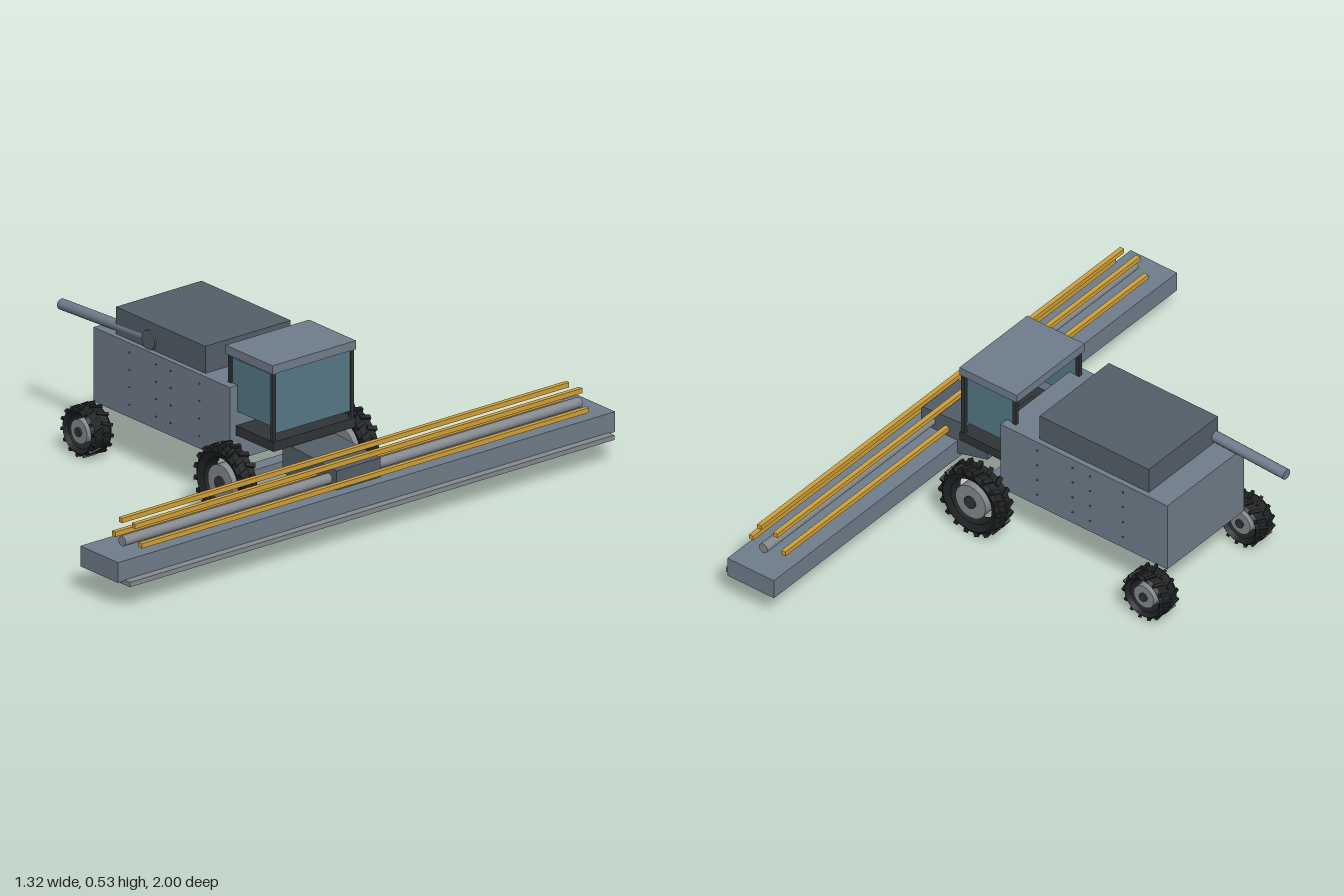
import * as THREE from 'three';

const mat = (color, extra = {}) => new THREE.MeshStandardMaterial({ color, ...extra });

export function createModel() {
  const root = new THREE.Group();
  const slate = mat(0x6f7c8a), dark = mat(0x535e68), black = mat(0x303438);
  const rubber = mat(0x1f2123, { flatShading: true });
  const steel = mat(0x85898d), gold = mat(0xd0a038), glass = mat(0x557885);

  const add = (name, geo, material, x = 0, y = 0, z = 0, parent = root) => {
    const m = new THREE.Mesh(geo, material);
    m.name = name;
    m.position.set(x, y, z);
    parent.add(m);
    return m;
  };
  // box given by its limits in x and y, and by its z centre and depth
  const box = (name, material, x0, x1, y0, y1, depth, z = 0) =>
    add(name, new THREE.BoxGeometry(x1 - x0, y1 - y0, depth), material, (x0 + x1) / 2, (y0 + y1) / 2, z);
  // cylinder lying along z
  const rod = (name, material, r, length, x, y, z, parent = root, sides = 24) =>
    add(name, new THREE.CylinderGeometry(r, r, length, sides).rotateX(Math.PI / 2), material, x, y, z, parent);

  // body and grain tank
  box('body', slate, -0.466, 0.197, 0.157, 0.405, 0.38);
  box('grainTank', dark, -0.378, 0.056, 0.405, 0.495, 0.344);

  // rivets on both body sides
  for (const s of [-1, 1])
    for (const x of [-0.29, -0.16, -0.09, 0.05])
      for (let i = 0; i < 4; i++) rod('rivet', dark, 0.003, 0.004, x, 0.2 + i * 0.058, s * 0.191, root, 6);

  // unloading auger swung to the rear
  const from = new THREE.Vector3(-0.215, 0.435, 0.157), to = new THREE.Vector3(-0.662, 0.414, 0.157);
  const path = new THREE.LineCurve3(from, to);
  const tube = add('unloadingAuger', new THREE.CylinderGeometry(0.018, 0.018, path.getLength(), 16), slate);
  tube.position.copy(path.getPoint(0.5));
  tube.quaternion.setFromUnitVectors(new THREE.Vector3(0, 1, 0), to.clone().sub(from).normalize());
  rod('augerPivot', dark, 0.032, 0.04, -0.215, 0.435, 0.158);

  // cab
  box('cabFloor', black, 0.19, 0.38, 0.24, 0.272, 0.33);
  box('seat', black, 0.205, 0.282, 0.272, 0.318, 0.14);
  box('cabRoof', slate, 0.15, 0.378, 0.498, 0.527, 0.336);
  box('frontWindow', glass, 0.363, 0.37, 0.294, 0.498, 0.306);
  for (const s of [-1, 1]) {
    box('sideWindow', glass, 0.172, 0.356, 0.317, 0.49, 0.007, s * 0.155);
    box('rearPost', black, 0.157, 0.17, 0.4, 0.5, 0.013, s * 0.157);
    box('frontPost', black, 0.362, 0.375, 0.27, 0.5, 0.013, s * 0.157);
  }

  // tapered feeder house
  const side = new THREE.Shape([[0.33, 0.24], [0.33, 0.14], [0.45, 0.108], [0.594, 0.1], [0.594, 0.222]]
    .map(p => new THREE.Vector2(...p)));
  add('feederHouse', new THREE.ExtrudeGeometry(side, { depth: 0.176, bevelEnabled: false }), dark, 0, 0, -0.088);

  // header, cutter bar and reel
  box('header', slate, 0.449, 0.633, 0.09, 0.158, 2);
  box('cutterBar', steel, 0.583, 0.66, 0.078, 0.094, 1.95);
  rod('reelTube', steel, 0.017, 1.84, 0.555, 0.186, 0);
  for (let i = 0; i < 6; i++) {
    const a = i * Math.PI / 3;
    const x = 0.555 + 0.064 * Math.cos(a), y = 0.186 + 0.064 * Math.sin(a);
    box('reelBat', gold, x - 0.008, x + 0.008, y - 0.008, y + 0.008, 1.8);
  }

  // wheel: ring tyre with two staggered rows of lugs, hub and cap
  const wheel = (name, r, inner, hubR, width, lugs, x, y, z) => {
    const g = new THREE.Group();
    g.name = name;
    g.position.set(x, y, z);
    root.add(g);
    const h = width / 2, out = r * 0.94;
    const profile = [[inner, -h * 0.7], [out - r * 0.1, -h], [out, -h * 0.75], [out, h * 0.75],
      [out - r * 0.1, h], [inner, h * 0.7], [inner, -h * 0.7]].map(p => new THREE.Vector2(...p));
    add('tyre', new THREE.LatheGeometry(profile, 36).rotateX(Math.PI / 2),
      mat(0x1f2123, { flatShading: true, side: THREE.DoubleSide }), 0, 0, 0, g);
    for (const s of [-1, 1])
      for (let i = 0; i < lugs; i++) {
        const a = (i + (s > 0 ? 0.5 : 0)) / lugs * Math.PI * 2;
        const geo = new THREE.BoxGeometry(r * 0.12, r * 0.13, width * 0.5).rotateY(s * 0.35);
        const lug = add('lug', geo, rubber, Math.cos(a) * r * 0.93, Math.sin(a) * r * 0.93, s * width * 0.24, g);
        lug.rotation.z = a - Math.PI / 2;
      }
    rod('hub', steel, hubR, width * 0.8, 0, 0, 0, g);
    rod('hubCap', black, hubR * 0.37, width * 0.96, 0, 0, 0, g, 16);
  };
  for (const s of [-1, 1]) {
    wheel('frontWheel', 0.124, 0.082, 0.06, 0.07, 18, 0.25, 0.124, s * 0.245);
    wheel('rearWheel', 0.083, 0.057, 0.04, 0.083, 14, -0.438, 0.085, s * 0.239);
  }
  box('frontAxle', slate, 0.225, 0.275, 0.105, 0.145, 0.44);

  return root;
}
